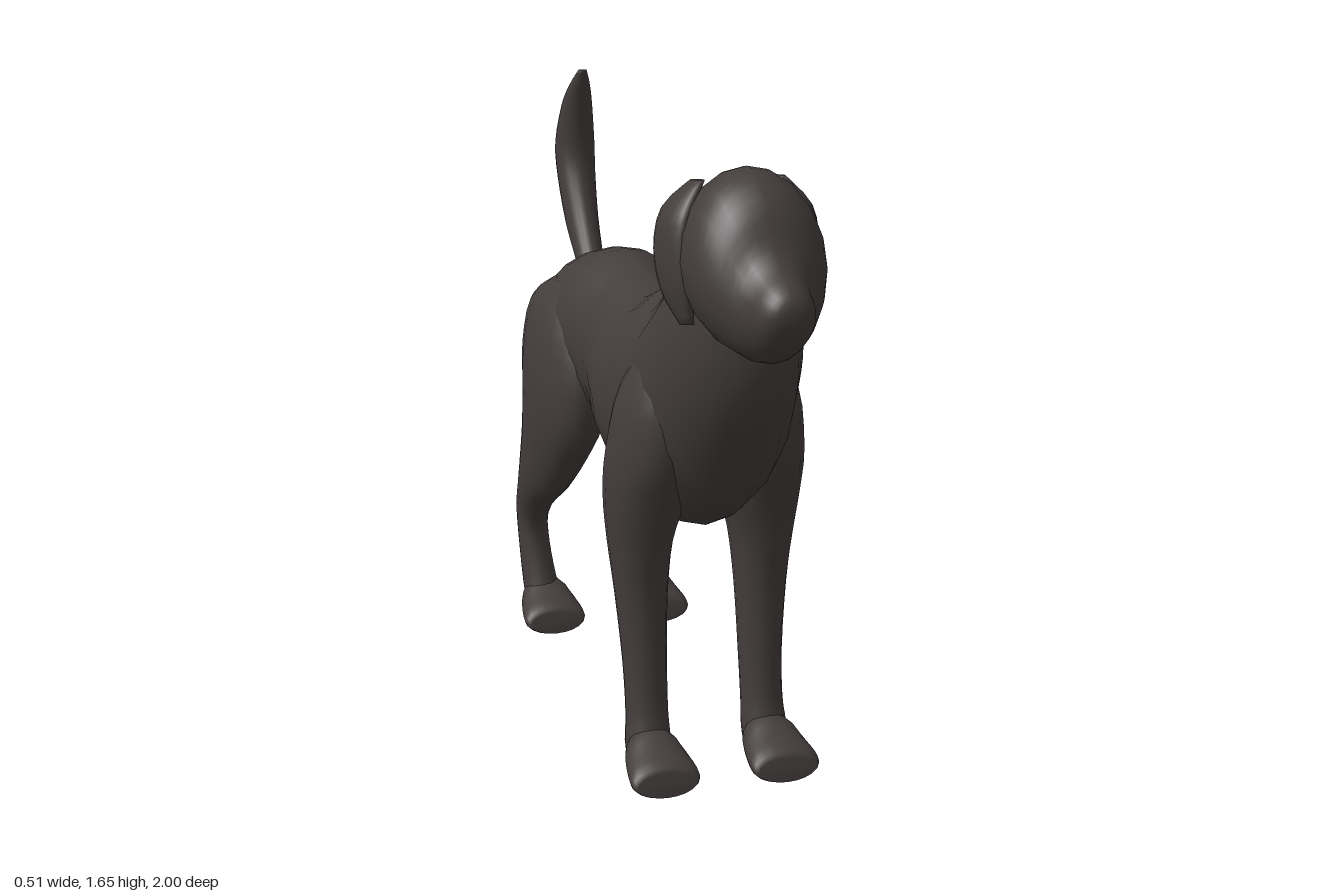
import * as THREE from 'three';

const coat = new THREE.MeshStandardMaterial({ color: 0x433d3c });
coat.name = 'darkCoat';

// Smooth skin through rings. Each ring is [zA, yA, zB, yB, halfWidth, xCentre]:
// A and B are opposite points on the side profile.
function loft(name, rings, side = 1, steps = 3, sides = 20) {
  const at = (i) => rings[Math.min(Math.max(i, 0), rings.length - 1)];
  const rows = [];
  for (let i = 0; i < rings.length - 1; i++) {
    const last = i === rings.length - 2;
    for (let s = 0; s < steps + (last ? 1 : 0); s++) {
      const t = s / steps;
      rows.push([0, 1, 2, 3, 4, 5].map((k) => {
        const [a, b, c, d] = [at(i - 1), at(i), at(i + 1), at(i + 2)].map((r) => r[k] ?? 0);
        return b + 0.5 * t * (c - a + t * (2 * a - 5 * b + 4 * c - d + t * (3 * (b - c) + d - a)));
      }));
    }
  }
  const pos = [];
  const idx = [];
  for (const [zA, yA, zB, yB, w, x] of rows) {
    for (let j = 0; j < sides; j++) {
      const a = (j / sides) * Math.PI * 2;
      const c = Math.cos(a) / 2;
      pos.push(side * x + w * Math.sin(a), (yA + yB) / 2 + c * (yA - yB), (zA + zB) / 2 + c * (zA - zB));
    }
  }
  for (let i = 0; i < rows.length - 1; i++) {
    for (let j = 0; j < sides; j++) {
      const k = (j + 1) % sides;
      const [a, b, c, d] = [i * sides + j, i * sides + k, (i + 1) * sides + j, (i + 1) * sides + k];
      idx.push(a, b, c, b, d, c);
    }
  }
  // Close both ends
  for (const i of [0, rows.length - 1]) {
    const [zA, yA, zB, yB, , x] = rows[i];
    const centre = pos.length / 3;
    pos.push(side * x, (yA + yB) / 2, (zA + zB) / 2);
    for (let j = 0; j < sides; j++) {
      const a = i * sides + j;
      const b = i * sides + ((j + 1) % sides);
      if (i === 0) idx.push(centre, b, a);
      else idx.push(centre, a, b);
    }
  }
  // Turn the faces outward
  let volume = 0;
  const p = (i) => new THREE.Vector3().fromArray(pos, i * 3);
  for (let i = 0; i < idx.length; i += 3) volume += p(idx[i]).dot(p(idx[i + 1]).cross(p(idx[i + 2])));
  if (volume < 0) idx.reverse();

  const geo = new THREE.BufferGeometry();
  geo.setAttribute('position', new THREE.Float32BufferAttribute(pos, 3));
  geo.setIndex(idx);
  geo.computeVertexNormals();
  const mesh = new THREE.Mesh(geo, coat);
  mesh.name = name;
  return mesh;
}

// Rump to throat: back line, belly line
const torso = [
  [-0.775, 1.06, -0.78, 0.95, 0.05],
  [-0.73, 1.11, -0.75, 0.85, 0.13],
  [-0.6, 1.17, -0.62, 0.76, 0.2],
  [-0.4, 1.215, -0.42, 0.73, 0.205],
  [-0.2, 1.195, -0.25, 0.715, 0.172],
  [0, 1.19, 0, 0.66, 0.205],
  [0.15, 1.245, 0.18, 0.635, 0.2],
  [0.25, 1.26, 0.36, 0.655, 0.2],
  [0.35, 1.32, 0.52, 0.76, 0.2],
  [0.42, 1.38, 0.62, 0.88, 0.185],
  [0.47, 1.415, 0.71, 1.02, 0.168],
  [0.52, 1.45, 0.75, 1.13, 0.15],
  [0.56, 1.48, 0.755, 1.23, 0.135],
];

// Back of skull to nose
const head = [
  [0.475, 1.45, 0.49, 1.37, 0.06],
  [0.51, 1.54, 0.56, 1.28, 0.13],
  [0.58, 1.61, 0.66, 1.235, 0.16],
  [0.66, 1.645, 0.74, 1.215, 0.17],
  [0.75, 1.63, 0.8, 1.215, 0.162],
  [0.82, 1.575, 0.84, 1.215, 0.138],
  [0.865, 1.495, 0.88, 1.225, 0.105],
  [0.91, 1.455, 0.92, 1.245, 0.082],
  [0.96, 1.43, 0.96, 1.275, 0.068],
  [0.99, 1.405, 0.99, 1.32, 0.045],
  [1.0, 1.38, 1.0, 1.35, 0.018],
];

const tail = [
  [-0.7, 1.08, -0.76, 1.0, 0.04],
  [-0.735, 1.12, -0.81, 1.07, 0.04],
  [-0.81, 1.23, -0.92, 1.17, 0.048],
  [-0.865, 1.34, -0.985, 1.31, 0.056],
  [-0.88, 1.42, -1.0, 1.42, 0.058],
  [-0.865, 1.53, -0.955, 1.54, 0.045],
  [-0.845, 1.6, -0.905, 1.6, 0.03],
  [-0.833, 1.65, -0.85, 1.648, 0.012],
];

const ear = [
  [0.63, 1.61, 0.56, 1.6, 0.015, 0.1],
  [0.67, 1.54, 0.51, 1.53, 0.033, 0.147],
  [0.685, 1.45, 0.495, 1.43, 0.036, 0.161],
  [0.695, 1.36, 0.53, 1.33, 0.032, 0.155],
  [0.69, 1.28, 0.62, 1.265, 0.014, 0.143],
];

// Shoulder to wrist: front edge, back edge
const frontLeg = [
  [0.46, 1.2, 0.34, 1.18, 0.04, 0.1],
  [0.54, 1.05, 0.22, 1.03, 0.095, 0.127],
  [0.53, 0.88, 0.17, 0.86, 0.11, 0.142],
  [0.48, 0.76, 0.17, 0.73, 0.104, 0.152],
  [0.43, 0.63, 0.2, 0.61, 0.083, 0.163],
  [0.4, 0.48, 0.245, 0.46, 0.068, 0.162],
  [0.4, 0.3, 0.28, 0.28, 0.058, 0.158],
  [0.412, 0.17, 0.305, 0.14, 0.056, 0.158],
  [0.43, 0.1, 0.315, 0.07, 0.06, 0.16],
  [0.43, 0.03, 0.34, 0.02, 0.055, 0.16],
];

// Hip to heel
const hindLeg = [
  [-0.4, 1.12, -0.62, 1.1, 0.05, 0.12],
  [-0.31, 1.0, -0.75, 1.03, 0.092, 0.135],
  [-0.27, 0.86, -0.79, 0.9, 0.108, 0.143],
  [-0.29, 0.72, -0.775, 0.78, 0.108, 0.147],
  [-0.38, 0.6, -0.78, 0.65, 0.09, 0.16],
  [-0.51, 0.475, -0.8, 0.53, 0.07, 0.175],
  [-0.65, 0.385, -0.835, 0.42, 0.054, 0.183],
  [-0.73, 0.3, -0.866, 0.35, 0.046, 0.183],
  [-0.732, 0.22, -0.85, 0.25, 0.046, 0.18],
  [-0.71, 0.14, -0.825, 0.12, 0.05, 0.172],
  [-0.69, 0.08, -0.795, 0.06, 0.055, 0.165],
  [-0.69, 0.03, -0.765, 0.015, 0.05, 0.162],
];

// Paw from heel to toes; z is the toe tip
const paw = (z) => [
  [z - 0.23, 0.07, z - 0.23, 0.01, 0.035, 0.16],
  [z - 0.17, 0.13, z - 0.17, 0.0, 0.068, 0.16],
  [z - 0.09, 0.108, z - 0.09, 0.0, 0.086, 0.161],
  [z - 0.03, 0.088, z - 0.02, 0.0, 0.092, 0.162],
  [z - 0.012, 0.07, z, 0.005, 0.078, 0.162],
];

export function createModel() {
  const dog = new THREE.Group();
  dog.name = 'dog';
  dog.add(loft('torso', torso), loft('head', head), loft('tail', tail));
  for (const [label, side] of [['left', 1], ['right', -1]]) {
    dog.add(
      loft(label + 'Ear', ear, side),
      loft(label + 'FrontLeg', frontLeg, side),
      loft(label + 'FrontPaw', paw(0.57), side),
      loft(label + 'HindLeg', hindLeg, side),
      loft(label + 'HindPaw', paw(-0.585), side),
    );
  }
  return dog;
}
